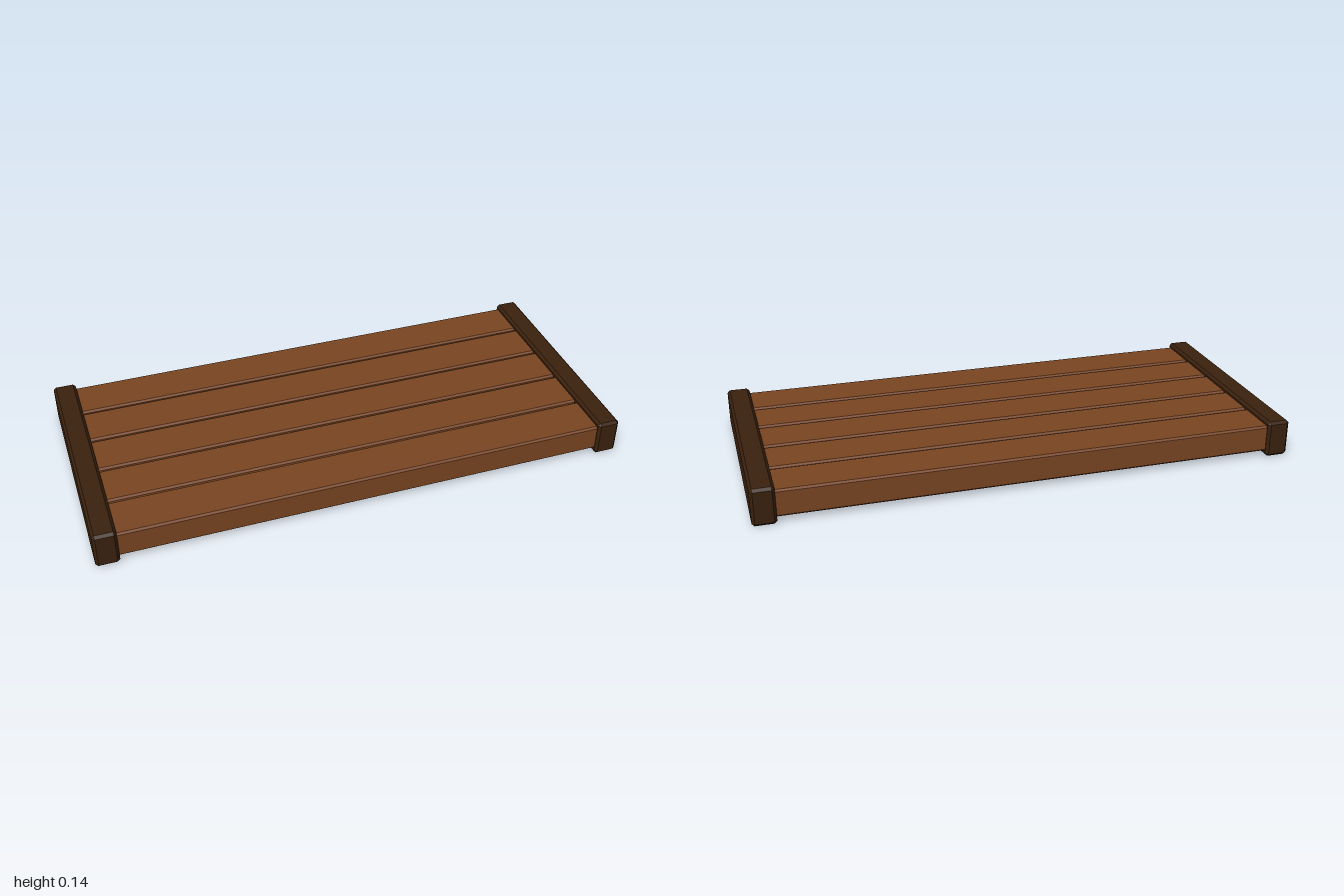
import * as THREE from 'three';
import { ConvexGeometry } from 'three/addons/geometries/ConvexGeometry.js';

// Box with every edge and corner cut flat by b
function chamferBox(w, h, d, b) {
  const half = [w / 2, h / 2, d / 2];
  const points = [];
  for (const sx of [-1, 1]) for (const sy of [-1, 1]) for (const sz of [-1, 1]) {
    for (let axis = 0; axis < 3; axis++) {
      const [x, y, z] = half.map((v, i) => (i === axis ? v : v - b));
      points.push(new THREE.Vector3(sx * x, sy * y, sz * z));
    }
  }
  return new ConvexGeometry(points);
}

export function createModel() {
  const group = new THREE.Group();
  const plankWood = new THREE.MeshStandardMaterial({ color: 0x7a4522 });
  plankWood.name = 'plankWood';
  const darkWood = new THREE.MeshStandardMaterial({ color: 0x3a210d });
  darkWood.name = 'darkWood';

  // Five long planks with narrow gaps
  const plankGeometry = chamferBox(1.86, 0.102, 0.17, 0.007);
  for (let i = 0; i < 5; i++) {
    const plank = new THREE.Mesh(plankGeometry, plankWood);
    plank.name = `plank${i + 1}`;
    plank.position.set(0, 0.072, (i - 2) * 0.179);
    group.add(plank);
  }

  // Dark cross beams capping both ends
  const beamGeometry = chamferBox(0.086, 0.14, 0.91, 0.01);
  for (const side of [-1, 1]) {
    const beam = new THREE.Mesh(beamGeometry, darkWood);
    beam.name = side > 0 ? 'leftEndBeam' : 'rightEndBeam';
    beam.position.set(side * 0.957, 0.07, 0);
    group.add(beam);
  }
  return group;
}
